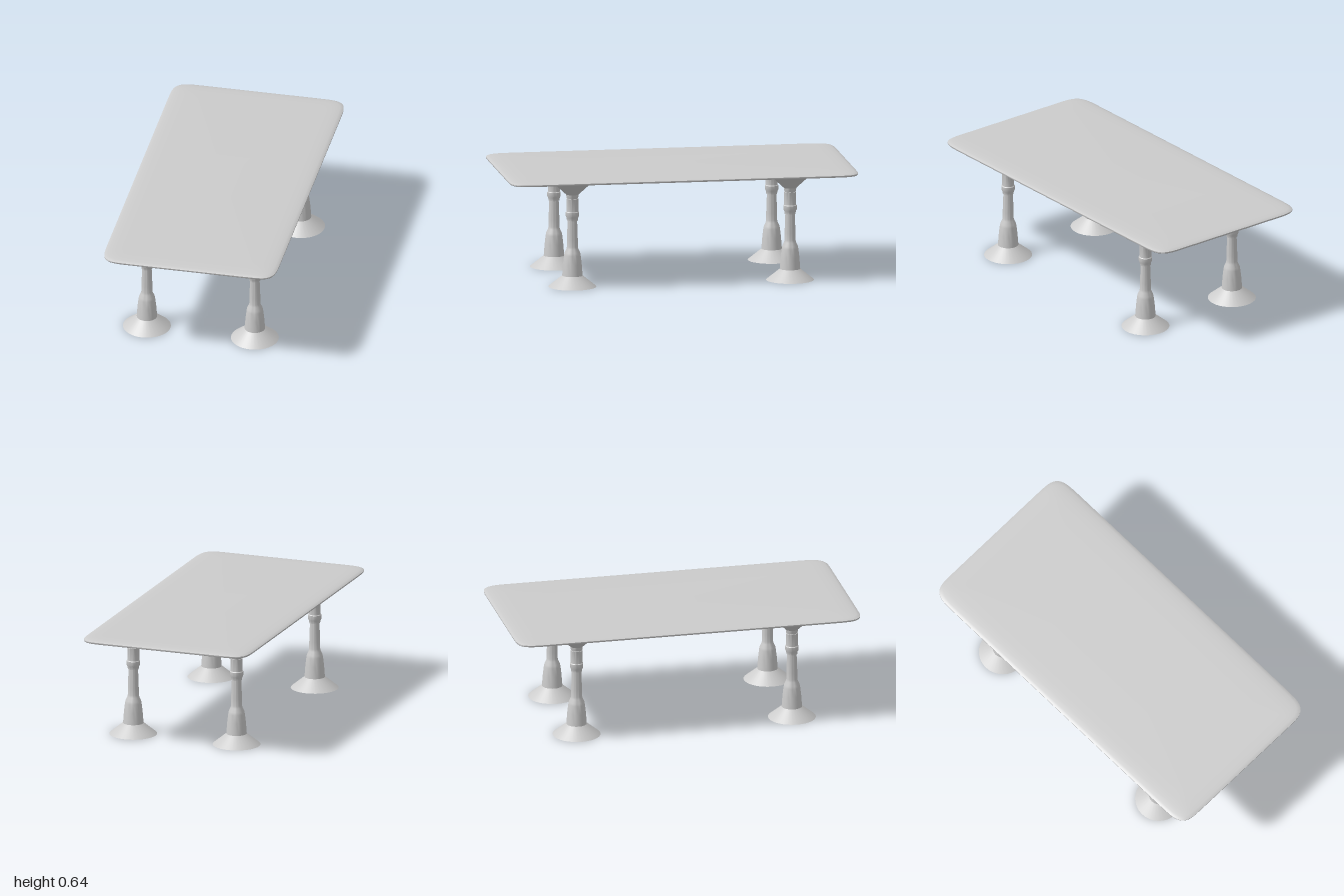
import * as THREE from 'three';
import { toCreasedNormals } from 'three/addons/utils/BufferGeometryUtils.js';

const material = new THREE.MeshStandardMaterial({ color: 0xcccccc });

// Turned leg profile: [radius, height], from the foot to the flared capital
const LEG_PROFILE = [
  [0, 0], [0.136, 0], [0.058, 0.063], [0.053, 0.13], [0.047, 0.18], [0.044, 0.195],
  [0.034, 0.216], [0.031, 0.23], [0.031, 0.27], [0.027, 0.38],
  [0.031, 0.38], [0.033, 0.395], [0.038, 0.405], [0.038, 0.428], [0.034, 0.432],
  [0.034, 0.506], [0.031, 0.507], [0.033, 0.512], [0.036, 0.53],
  [0.126, 0.613], [0, 0.613],
];

// Tabletop edge: [inset from the outline, height], from underside to top
const EDGE_PROFILE = [
  [0.003, 0.613], [0, 0.617], [0, 0.623], [0.007, 0.627], [0.02, 0.63],
  [0.05, 0.633], [0.09, 0.6347], [0.16, 0.636],
];

// Rounded rectangle with soft superelliptic corners
function outline(inset, steps = 16) {
  const points = [];
  const rx = 0.18 - inset, rz = 0.2 - inset, power = 2 / 4.5;
  for (let corner = 0; corner < 4; corner++) {
    for (let i = 0; i <= steps; i++) {
      const a = (corner + i / steps) * Math.PI / 2;
      const c = Math.cos(a), s = Math.sin(a);
      const sx = corner === 0 || corner === 3 ? 1 : -1;
      const sz = corner < 2 ? 1 : -1;
      points.push([
        sx * (0.32 + rx * Math.abs(c) ** power),
        sz * (0.8 + rz * Math.abs(s) ** power),
      ]);
    }
  }
  return points;
}

// Skin the outlines, closing both ends with a centre point
function tabletopGeometry() {
  const rings = EDGE_PROFILE.map(([inset, y]) => outline(inset).map(([x, z]) => [x, y, z]));
  const n = rings[0].length;
  rings.unshift(rings[0].map(([, y]) => [0, y, 0]));
  rings.push(rings[rings.length - 1].map(([, y]) => [0, y, 0]));
  const index = [];
  for (let r = 0; r < rings.length - 1; r++) {
    for (let i = 0; i < n; i++) {
      const j = (i + 1) % n;
      const a = r * n + i, b = r * n + j, c = a + n, d = b + n;
      if (r < rings.length - 2) index.push(a, c, d);
      if (r > 0) index.push(a, d, b);
    }
  }
  const geometry = new THREE.BufferGeometry();
  geometry.setAttribute('position', new THREE.Float32BufferAttribute(rings.flat(2), 3));
  geometry.setIndex(index);
  return toCreasedNormals(geometry, 0.7);
}

export function createModel() {
  const table = new THREE.Group();
  table.name = 'table';

  const top = new THREE.Mesh(tabletopGeometry(), material);
  top.name = 'tabletop';
  table.add(top);

  // Four identical turned legs
  const profile = LEG_PROFILE.map(([r, y]) => new THREE.Vector2(r, y));
  const legGeometry = toCreasedNormals(new THREE.LatheGeometry(profile, 32), 0.5);
  for (const [z, end] of [[0.625, 'front'], [-0.625, 'back']]) {
    for (const [x, side] of [[0.3125, 'Left'], [-0.3125, 'Right']]) {
      const leg = new THREE.Mesh(legGeometry, material);
      leg.name = `${end}${side}Leg`;
      leg.position.set(x, 0, z);
      table.add(leg);
    }
  }
  return table;
}
